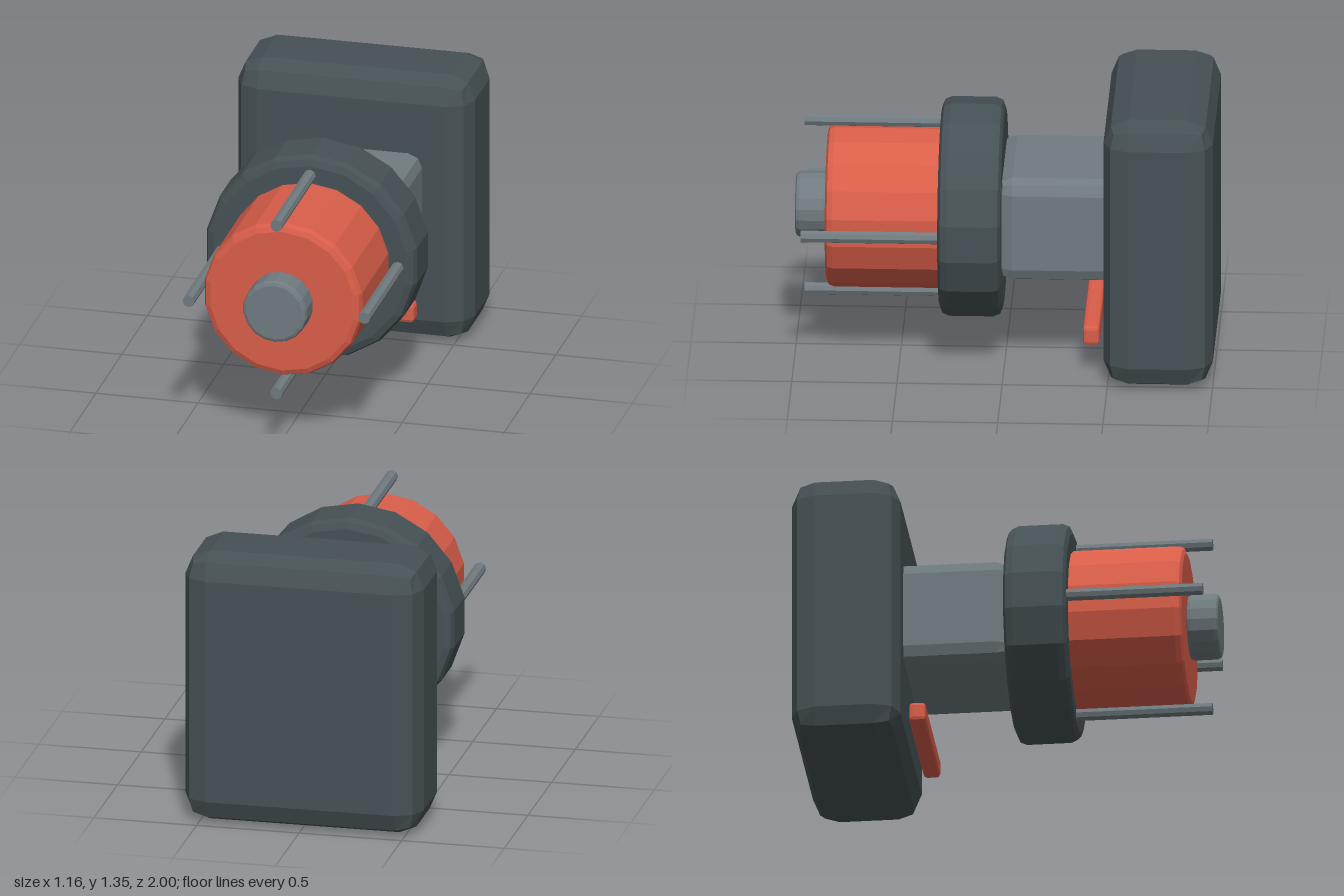
import * as THREE from 'three';
import { RoundedBoxGeometry } from 'three/addons/geometries/RoundedBoxGeometry.js';

const material = (name, color) => {
  const m = new THREE.MeshStandardMaterial({ color, flatShading: true });
  m.name = name;
  return m;
};

export function createModel() {
  const group = new THREE.Group();
  group.name = 'model';
  const dark = material('dark slate', 0x465155);
  const grey = material('steel grey', 0x707b80);
  const red = material('coral red', 0xd95e49);
  const axisY = 0.713;

  const add = (name, geometry, mat, x, y, z) => {
    const mesh = new THREE.Mesh(geometry, mat);
    mesh.name = name;
    mesh.position.set(x, y, z);
    group.add(mesh);
  };

  // Box with a two-step bevel
  const box = (name, mat, w, h, z0, z1, y, bevel) =>
    add(name, new RoundedBoxGeometry(w, h, z1 - z0, 1, bevel), mat, 0, y, (z0 + z1) / 2);

  // Drum along z with a two-step bevel on both rims
  const drum = (name, mat, radius, z0, z1, bevel, sides = 18) => {
    const points = [new THREE.Vector2(0, z0)];
    for (let i = 0; i <= 2; i++) {
      const a = i * Math.PI / 4;
      points.push(new THREE.Vector2(radius - bevel + bevel * Math.sin(a), z0 + bevel - bevel * Math.cos(a)));
    }
    for (let i = 2; i >= 0; i--) {
      const a = i * Math.PI / 4;
      points.push(new THREE.Vector2(radius - bevel + bevel * Math.sin(a), z1 - bevel + bevel * Math.cos(a)));
    }
    points.push(new THREE.Vector2(0, z1));
    const geometry = new THREE.LatheGeometry(points, sides).rotateX(Math.PI / 2);
    add(name, geometry, mat, 0, axisY, 0);
  };

  // Rear block, neck and the bar under the neck
  box('rearBlock', dark, 1.16, 1.345, -1, -0.48, 0.6725, 0.12);
  box('neck', grey, 0.7, 0.515, -0.58, 0.03, axisY, 0.07);
  box('lowerBar', red, 0.67, 0.096, -0.456, -0.376, 0.188, 0.018);

  // Flange, barrel and front knob
  drum('flange', dark, 0.522, 0.01, 0.31, 0.045);
  drum('barrel', red, 0.391, 0.26, 0.85, 0.035);
  drum('knob', grey, 0.157, 0.848, 1, 0.02);

  // Four rods around the barrel
  for (let i = 0; i < 4; i++) {
    const a = i * Math.PI / 2;
    const rod = new THREE.CylinderGeometry(0.03, 0.03, 0.7, 8).rotateX(Math.PI / 2);
    add('rod' + (i + 1), rod, grey, 0.43 * Math.cos(a), axisY + 0.43 * Math.sin(a), 0.61);
  }
  return group;
}
